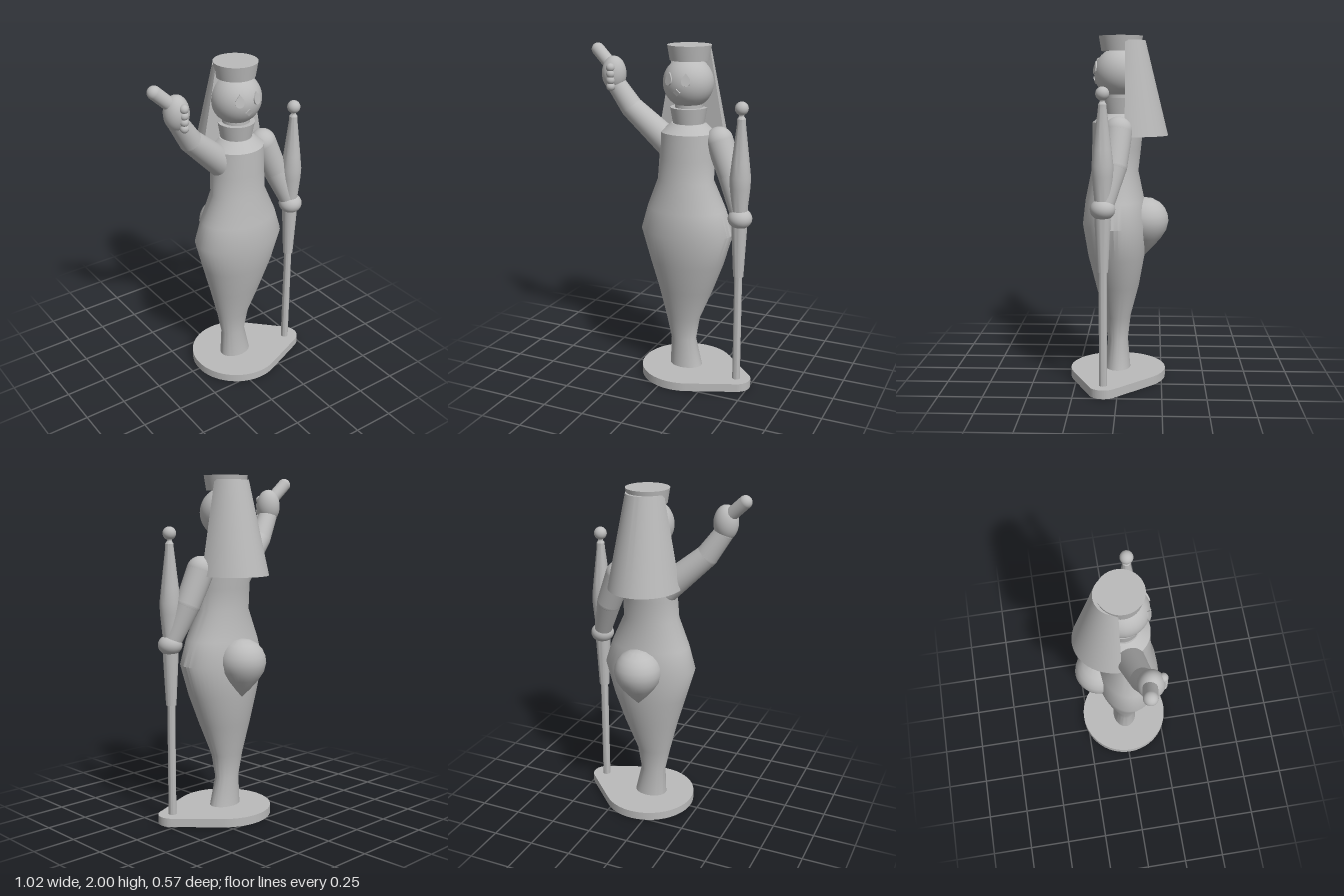
import * as THREE from 'three';
import { toCreasedNormals } from 'three/addons/utils/BufferGeometryUtils.js';

const grey = new THREE.MeshStandardMaterial({ color: 0xbbbbbb });
grey.name = 'plain grey';

const V = (x, y, z) => new THREE.Vector3(x, y, z);

function add(parent, name, geometry, x = 0, y = 0, z = 0) {
  const mesh = new THREE.Mesh(geometry, grey);
  mesh.name = name;
  mesh.position.set(x, y, z);
  parent.add(mesh);
  return mesh;
}

const ball = (r) => new THREE.SphereGeometry(r, 32, 24);

function lathe(points, crease = 0.5, segments = 40) {
  const profile = points.map(([r, y]) => new THREE.Vector2(r, y));
  return toCreasedNormals(new THREE.LatheGeometry(profile, segments), crease);
}

// Elliptical rings from bottom to top: [y, xCentre, xRadius, zCentre, zRadius]
function loft(rings, crease) {
  const n = rings.length - 1;
  const g = new THREE.CylinderGeometry(1, 1, 1, 48, n);
  const p = g.attributes.position;
  for (let i = 0; i < p.count; i++) {
    const [y, cx, rx, cz, rz] = rings[Math.round((p.getY(i) + 0.5) * n)];
    p.setXYZ(i, cx + p.getX(i) * rx, y, cz + p.getZ(i) * rz);
  }
  return toCreasedNormals(g, crease);
}

// Chain of tapered cylinders with round joints: [x, y, z, radius]
function limb(parent, name, joints) {
  const group = new THREE.Group();
  group.name = name;
  parent.add(group);
  joints.forEach(([x, y, z, r], i) => {
    add(group, name + 'Joint', ball(r), x, y, z);
    if (!i) return;
    const [px, py, pz, pr] = joints[i - 1];
    const a = V(px, py, pz), b = V(x, y, z);
    const dir = b.clone().sub(a);
    const part = add(group, name + 'Segment', new THREE.CylinderGeometry(r, pr, dir.length(), 32, 1, true));
    part.position.copy(a).add(b).multiplyScalar(0.5);
    part.quaternion.setFromUnitVectors(V(0, 1, 0), dir.normalize());
  });
}

// Plate standing slightly proud of the head, facing outward
function facePlate(parent, name, shape, head, radius, dx, dy) {
  const g = new THREE.ExtrudeGeometry(shape, { depth: 0.009, bevelEnabled: false, curveSegments: 10 });
  const dir = V(dx, dy, Math.sqrt(radius * radius - dx * dx - dy * dy)).normalize();
  const plate = add(parent, name, g);
  plate.position.copy(head).addScaledVector(dir, radius - 0.004);
  plate.lookAt(plate.position.clone().add(dir));
}

export function createModel() {
  const model = new THREE.Group();
  model.name = 'standingFigure';

  // Base: a large and a small circle joined by their outer tangents
  const big = { x: 0.08, y: -0.008, r: 0.28 }, small = { x: 0.425, y: -0.077, r: 0.085 };
  const dx = small.x - big.x, dy = small.y - big.y;
  const phi = Math.atan2(dy, dx), a = Math.acos((big.r - small.r) / Math.hypot(dx, dy));
  const outline = new THREE.Shape();
  outline.absarc(big.x, big.y, big.r, phi + a, phi - a + Math.PI * 2, false);
  outline.absarc(small.x, small.y, small.r, phi - a, phi + a, false);
  const base = new THREE.ExtrudeGeometry(outline, { depth: 0.05, bevelEnabled: false, curveSegments: 40 });
  base.rotateX(-Math.PI / 2);
  add(model, 'base', toCreasedNormals(base, 0.5));

  // Long gown and bodice
  add(model, 'gown', loft([
    [0.05, 0.07, 0.1, 0.01, 0.075],
    [0.22, 0.053, 0.078, 0.01, 0.06],
    [0.36, 0.05, 0.105, 0.012, 0.078],
    [0.55, 0.067, 0.168, 0.012, 0.127],
    [0.73, 0.076, 0.228, 0.018, 0.165],
    [0.92, 0.078, 0.283, 0.024, 0.19],
    [1.06, 0.076, 0.24, 0.026, 0.172],
    [1.23, 0.07, 0.168, 0.027, 0.137],
    [1.36, 0.073, 0.164, 0.017, 0.142],
    [1.51, 0.075, 0.16, 0.008, 0.147],
    [1.56, 0.075, 0.1, 0.0, 0.095],
  ], 0.6));

  // Drop-shaped bustle at the back
  add(model, 'bustle', lathe([
    [0, -0.205], [0.05, -0.155], [0.098, -0.1], [0.13, -0.05], [0.142, 0],
    [0.137, 0.04], [0.12, 0.078], [0.093, 0.108], [0.05, 0.132], [0, 0.14],
  ], 0.8), 0.08, 0.935, -0.145);

  // Collar, neck, head and hat
  add(model, 'collar', lathe([[0, 1.555], [0.09, 1.555], [0.107, 1.65], [0, 1.65]]), 0.075, 0, 0);
  add(model, 'neck', new THREE.CylinderGeometry(0.08, 0.08, 0.07, 32), 0.075, 1.645, 0);
  const head = V(0.073, 1.79, 0), headRadius = 0.146;
  add(model, 'head', ball(headRadius), head.x, head.y, head.z);
  add(model, 'hat', lathe([[0, 1.915], [0.112, 1.915], [0.126, 2], [0, 2]]), 0.075, 0, -0.008);

  // Eyes and mouth
  const drop = new THREE.Shape();
  drop.moveTo(0, 0.04);
  drop.bezierCurveTo(0.014, 0.02, 0.026, 0.012, 0.025, -0.008);
  drop.bezierCurveTo(0.024, -0.042, -0.024, -0.042, -0.025, -0.008);
  drop.bezierCurveTo(-0.026, 0.012, -0.014, 0.02, 0, 0.04);
  const diamond = new THREE.Shape();
  diamond.moveTo(0, -0.022).lineTo(0.022, 0).lineTo(0, 0.022).lineTo(-0.022, 0).closePath();
  for (const x of [-0.064, 0.042]) facePlate(model, 'eye', drop, head, headRadius, x, 0.028);
  facePlate(model, 'mouth', diamond, head, headRadius, -0.011, -0.04);

  // Veil: half cone with a flat front
  const veil = new THREE.CylinderGeometry(0.113, 0.215, 0.54, 40, 1, false, Math.PI / 2, Math.PI);
  veil.scale(1, 1, 1);
  const vp = veil.attributes.position;
  for (let i = 0; i < vp.count; i++) if (vp.getY(i) < 0) vp.setZ(i, vp.getZ(i) * 1.14);
  veil.computeVertexNormals();
  add(model, 'veil', toCreasedNormals(veil, 0.5), 0.076, 1.705, -0.036);
  const panel = new THREE.Shape();
  panel.moveTo(-0.215, -0.27).lineTo(0.215, -0.27).lineTo(0.113, 0.27).lineTo(-0.113, 0.27).closePath();
  add(model, 'veilFront', new THREE.ShapeGeometry(panel), 0.076, 1.705, -0.036);

  // Raised right arm with a fist holding a short rod
  limb(model, 'rightArm', [
    [-0.03, 1.42, 0.01, 0.085], [-0.262, 1.63, 0.05, 0.066], [-0.352, 1.765, 0.07, 0.056],
  ]);
  add(model, 'rightHand', ball(0.071), -0.362, 1.825, 0.075).scale.set(1, 1.42, 1);
  for (let i = 0; i < 4; i++) add(model, 'finger', ball(0.025), -0.353, 1.757 + i * 0.036, 0.137);
  limb(model, 'rod', [[-0.36, 1.845, 0.07], [-0.477, 1.955, 0.05]].map((p) => [...p, 0.038]));

  // Lowered left arm and its hand
  limb(model, 'leftArm', [
    [0.265, 1.47, 0.0, 0.08], [0.345, 1.28, 0.02, 0.073], [0.42, 1.07, 0.07, 0.052],
  ]);
  add(model, 'leftHand', ball(0.07), 0.428, 1.05, 0.08).scale.set(1, 0.85, 1);

  // Tall staff with a swollen shaft and ball tip
  add(model, 'staff', lathe([
    [0, 0.04], [0.023, 0.04], [0.023, 0.7], [0.03, 0.7], [0.045, 0.99], [0.045, 1.1],
    [0.058, 1.23], [0.06, 1.29], [0.05, 1.38], [0.024, 1.6], [0.024, 1.62], [0.014, 1.635], [0.014, 1.66],
  ], 0.5, 32), 0.425, 0, 0.08);
  add(model, 'staffBall', ball(0.038), 0.425, 1.678, 0.08);

  return model;
}
